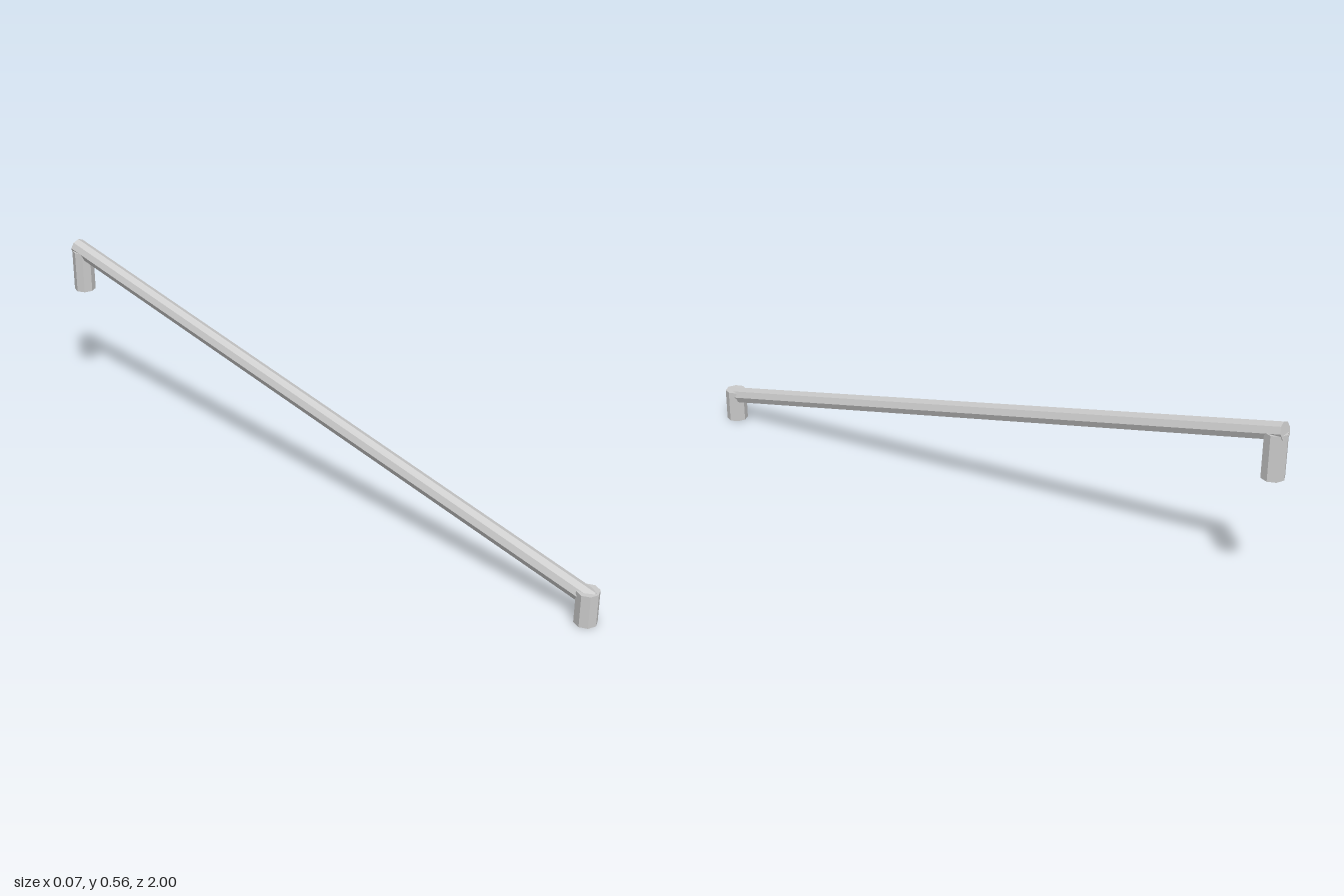
import * as THREE from 'three';

// Eight-sided rod with flat facets between two points
function rod(name, from, to, radius, material) {
  const axis = new THREE.Vector3().subVectors(to, from);
  const mesh = new THREE.Mesh(
    new THREE.CylinderGeometry(radius, radius, axis.length(), 8),
    material
  );
  mesh.name = name;
  mesh.position.addVectors(from, to).multiplyScalar(0.5);
  mesh.quaternion.setFromUnitVectors(new THREE.Vector3(0, 1, 0), axis.normalize());
  return mesh;
}

export function createModel() {
  const group = new THREE.Group();
  group.name = 'handrail';
  const material = new THREE.MeshStandardMaterial({ color: 0xcccccc, flatShading: true });
  const point = (y, z) => new THREE.Vector3(0, y, z);

  // Sloping rail, rising towards the back
  group.add(rod('rail', point(0.0765, 0.985), point(0.533, -0.991), 0.026, material));

  // Short upright posts under each end
  group.add(rod('frontPost', point(0, 0.967), point(0.1, 0.967), 0.033, material));
  group.add(rod('backPost', point(0.394, -0.967), point(0.525, -0.967), 0.033, material));

  return group;
}
